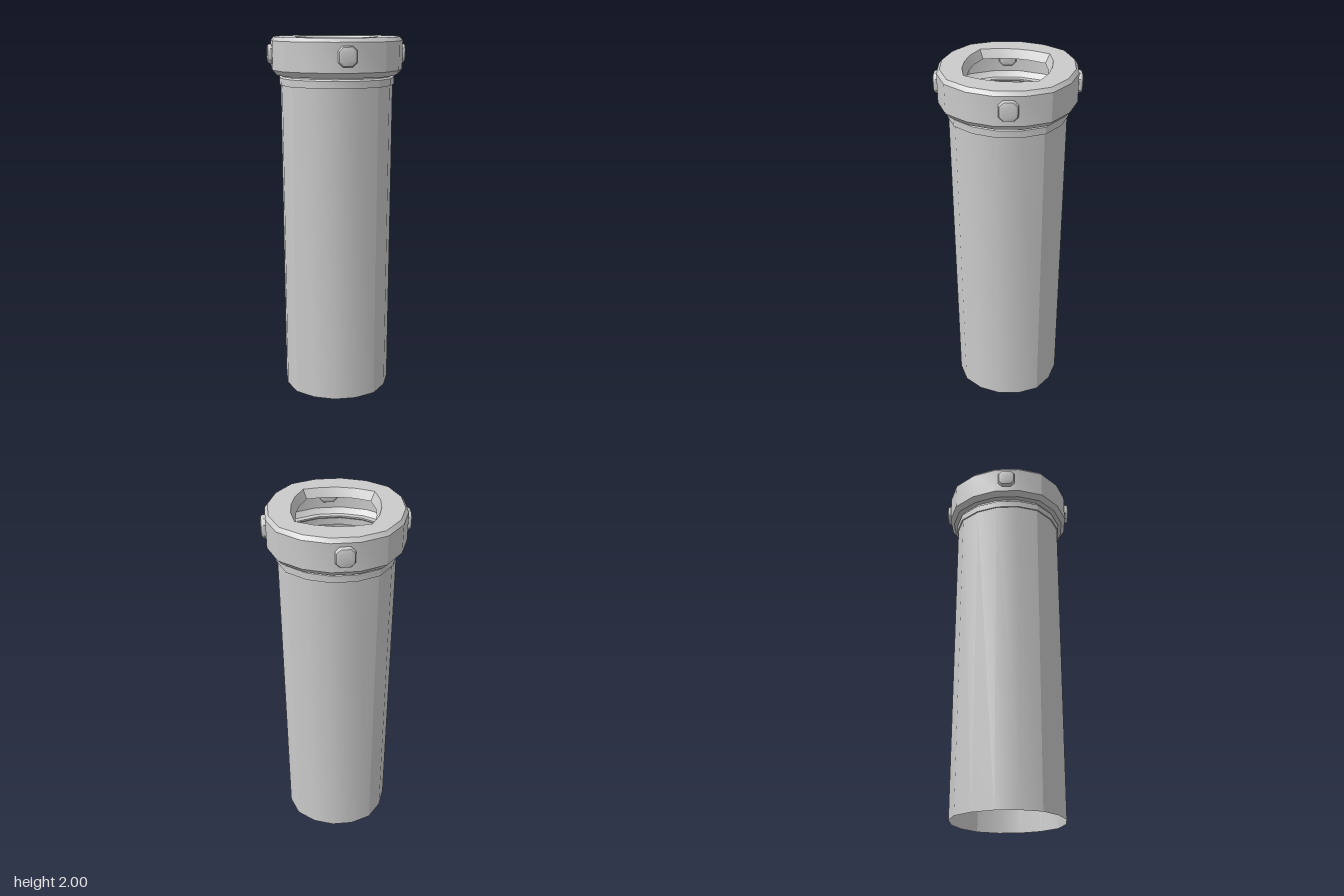
import * as THREE from 'three';
import { toCreasedNormals } from 'three/addons/utils/BufferGeometryUtils.js';

const material = new THREE.MeshStandardMaterial({ color: 0xcccccc, side: THREE.DoubleSide });

// 16-sided lathe whose diagonals swell outward, giving a slightly squared ring
function squaredLathe(name, profile, swells) {
  const geometry = new THREE.LatheGeometry(profile.map(([r, y]) => new THREE.Vector2(r, y)), 16);
  const p = geometry.attributes.position;
  for (let i = 0; i < p.count; i++) {
    const angle = Math.atan2(p.getX(i), p.getZ(i));
    const k = 1 + swells[i % profile.length] * Math.sin(2 * angle) ** 4;
    p.setX(i, p.getX(i) * k);
    p.setZ(i, p.getZ(i) * k);
  }
  const mesh = new THREE.Mesh(toCreasedNormals(geometry, 0.5), material);
  mesh.name = name;
  return mesh;
}

// Bevelled octagonal stud facing +z, with its base at z = 0
function studGeometry() {
  const w = 0.03, h = 0.033, c = 0.012;
  const shape = new THREE.Shape([
    [w, -h + c], [w, h - c], [w - c, h], [-w + c, h],
    [-w, h - c], [-w, -h + c], [-w + c, -h], [w - c, -h],
  ].map(([x, y]) => new THREE.Vector2(x, y)));
  const geometry = new THREE.ExtrudeGeometry(shape, {
    depth: 0.01, bevelEnabled: true, bevelSize: 0.018, bevelThickness: 0.014, bevelSegments: 2,
  });
  geometry.translate(0, 0, -0.005);
  return toCreasedNormals(geometry, 0.7);
}

export function createModel() {
  const model = new THREE.Group();
  const swell = 0.037, holeSwell = 0.165;

  // Long open tube
  model.add(squaredLathe('tube', [[0.305, 0], [0.305, 1.75]], [swell, swell]));

  // Thin collar and neck below the cap
  const collar = [[0.305, 1.75], [0.312, 1.75], [0.312, 1.787], [0.302, 1.795], [0.302, 1.803]];
  model.add(squaredLathe('collar', collar, collar.map(() => swell)));

  // Chamfered cap with a squared, tapering hole
  const cap = [
    [0.302, 1.803], [0.332, 1.803], [0.355, 1.83], [0.355, 1.98],
    [0.339, 2], [0.222, 2], [0.199, 1.955],
  ];
  model.add(squaredLathe('cap', cap, cap.map(([r]) => (r < 0.25 ? holeSwell : swell))));

  // Four studs around the cap, each on the facet beside an axis
  const geometry = studGeometry();
  for (let i = 0; i < 4; i++) {
    const stud = new THREE.Mesh(geometry, material);
    stud.name = 'stud' + (i + 1);
    stud.position.set(0.068, 1.911, 0.349);
    stud.rotation.y = 0.18;
    const mount = new THREE.Group();
    mount.name = 'studMount' + (i + 1);
    mount.rotation.y = i * Math.PI / 2;
    mount.add(stud);
    model.add(mount);
  }
  return model;
}
